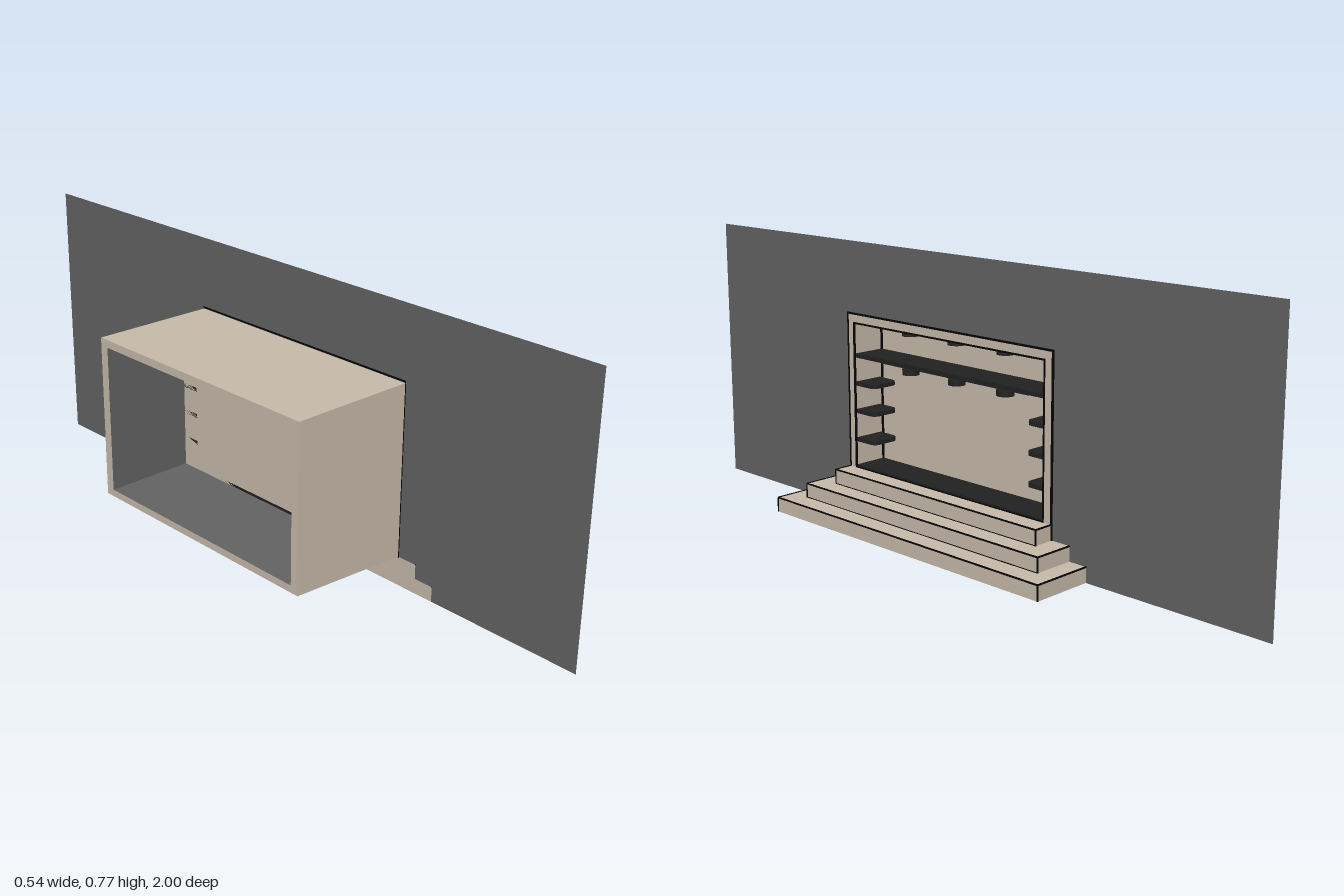
import * as THREE from 'three';

export function createModel() {
  const model = new THREE.Group();
  const mat = (name, color, side = THREE.FrontSide) => {
    const m = new THREE.MeshStandardMaterial({ color, side });
    m.name = name;
    return m;
  };
  const stone = mat('stone', 0xc9bcab, THREE.DoubleSide);
  const grey = mat('wallGrey', 0x646464, THREE.DoubleSide);
  const dark = mat('darkMetal', 0x222222);
  const ink = mat('outlineBlack', 0x050505);

  const add = (name, geometry, material) => {
    const mesh = new THREE.Mesh(geometry, material);
    mesh.name = name;
    model.add(mesh);
    return mesh;
  };
  // Box given by its extents
  const block = (name, x0, x1, y0, y1, z0, z1, material) => {
    const g = new THREE.BoxGeometry(x1 - x0, y1 - y0, z1 - z0);
    g.translate((x0 + x1) / 2, (y0 + y1) / 2, (z0 + z1) / 2);
    return add(name, g, material);
  };
  // Flat rectangle facing +x, optionally with a rectangular hole
  const rect = (Type, y0, y1, z0, z1) => {
    const p = new Type();
    p.moveTo(-z1, y0).lineTo(-z0, y0).lineTo(-z0, y1).lineTo(-z1, y1).closePath();
    return p;
  };
  const panel = (name, x, outer, hole, material) => {
    const s = rect(THREE.Shape, ...outer);
    if (hole) s.holes.push(rect(THREE.Path, ...hole));
    const g = new THREE.ShapeGeometry(s);
    g.rotateY(Math.PI / 2).translate(x, 0, 0);
    return add(name, g, material);
  };
  // Flat four-cornered face
  const quad = (name, a, b, c, d, material) => {
    const g = new THREE.BufferGeometry();
    g.setAttribute('position', new THREE.Float32BufferAttribute([a, b, c, a, c, d].flat(), 3));
    g.computeVertexNormals();
    return add(name, g, material);
  };

  const WX = 0.09, BX = -0.27, PX = -0.01;          // wall, rear and inner panel
  const Z0 = -0.34, Z1 = 0.43, TOP = 0.567;         // casing
  const HZ0 = -0.313, HZ1 = 0.406, HY0 = 0.125, HY1 = 0.545; // opening
  const hole = [HY0, HY1, HZ0, HZ1];

  // Thin wall with the opening
  panel('wall', WX, [0, 0.775, -1, 1], hole, grey);

  // Outer casing with sloping underside and open rear rim
  const YB = 0.105, YF = 0.083;
  quad('casingTop', [BX, TOP, Z0], [BX, TOP, Z1], [WX, TOP, Z1], [WX, TOP, Z0], stone);
  quad('casingBottom', [BX, YB, Z0], [WX, YF, Z0], [WX, YF, Z1], [BX, YB, Z1], stone);
  quad('casingLeft', [BX, YB, Z1], [WX, YF, Z1], [WX, TOP, Z1], [BX, TOP, Z1], stone);
  quad('casingRight', [WX, YF, Z0], [BX, YB, Z0], [BX, TOP, Z0], [WX, TOP, Z0], stone);
  panel('rearRim', BX, [YB, TOP, Z0, Z1], hole, stone);

  // Linings of the rear hollow and the front recess, split by the inner panel
  const lining = (name, x0, x1, material, floor) => {
    const corner = [[HY0, HZ0], [HY0, HZ1], [HY1, HZ1], [HY1, HZ0]];
    ['Floor', 'LeftSide', 'Ceiling', 'RightSide'].forEach((part, i) => {
      if (part === 'Floor' && !floor) return;
      const [p, q] = [corner[i], corner[(i + 1) % 4]];
      quad(name + part, [x0, ...p], [x0, ...q], [x1, ...q], [x1, ...p], material);
    });
  };
  lining('rear', BX, PX, grey, true);
  lining('recess', PX, WX, stone, false);
  panel('innerPanel', PX, hole, null, stone);
  block('recessFloor', PX, WX, HY0 - 0.002, HY0 + 0.008, HZ0, HZ1, dark);

  // Raised frame round the opening
  panel('frame', WX + 0.003, [YF, TOP + 0.003, Z0, Z1], hole, stone);

  // Outline strips: rectangles in the wall plane
  const T = 0.0025;
  const outline = (name, x, y0, y1, z0, z1) => {
    for (const z of [z0, z1]) block(name + 'Side', x - T, x + T, y0, y1, z - T, z + T, ink);
    for (const y of [y0, y1]) block(name + 'Rail', x - T, x + T, y - T, y + T, z0 - T, z1 + T, ink);
  };
  outline('frameOutline', WX + 0.002, YF, TOP + 0.004, Z0, Z1);
  outline('openingOutline', WX + 0.002, HY0, HY1, HZ0, HZ1);
  outline('recessOutline', PX + 0.003, HY0, HY1, HZ0 + 0.003, HZ1 - 0.003);

  // Three steps with edge lines
  const steps = [
    [0.268, 0, 0.042, -0.455, 0.548],
    [0.208, 0.042, 0.083, -0.4, 0.49],
    [0.15, 0.083, 0.125, Z0, Z1],
  ];
  steps.forEach(([x, y0, y1, z0, z1], i) => {
    block('step' + (i + 1), WX, x, y0, y1, z0, z1, stone);
    const t = 0.0018;
    block('stepFrontLine', x - t, x + t, y1 - t, y1 + t, z0, z1, ink);
    if (i) block('stepBaseLine', x - t, x + t, y0 - t, y0 + t, z0, z1, ink);
    for (const z of [z0, z1]) {
      block('stepSideLine', WX, x, y1 - t, y1 + t, z - t, z + t, ink);
      block('stepCornerLine', x - t, x + t, y0, y1, z - t, z + t, ink);
    }
  });

  // Upper shelf with a rail beneath it
  block('upperShelf', PX, WX - 0.002, 0.445, 0.457, HZ0, HZ1, dark);
  block('shelfRail', 0.02, 0.06, 0.435, 0.445, -0.23, 0.325, dark);

  // Round lamps under the ceiling and under the shelf
  for (const y of [HY1, 0.436]) {
    for (const z of [0.23, 0.05, -0.13]) {
      const lamp = add('lamp', new THREE.CylinderGeometry(0.024, 0.024, 0.016, 20), dark);
      lamp.position.set(0.04, y - 0.012, z);
      const stem = add('lampStem', new THREE.CylinderGeometry(0.012, 0.012, 0.008, 12), dark);
      stem.position.set(0.04, y - 0.002, z);
    }
  }

  // Small side shelves with rounded free corners
  const w = 0.075, d = 0.088, r = 0.02;
  const outlineShape = new THREE.Shape();
  outlineShape.moveTo(0, 0).lineTo(w - r, 0).quadraticCurveTo(w, 0, w, r)
    .lineTo(w, d - r).quadraticCurveTo(w, d, w - r, d).lineTo(0, d).closePath();
  for (const y of [0.37, 0.29, 0.207]) {
    for (const side of [-1, 1]) {
      const g = new THREE.ExtrudeGeometry(outlineShape, { depth: 0.012, bevelEnabled: false, curveSegments: 5 });
      g.rotateX(-Math.PI / 2).rotateY(side * Math.PI / 2);
      const shelf = add('sideShelf', g, dark);
      shelf.position.set(side > 0 ? WX - 0.002 : PX, y - 0.006, side > 0 ? HZ1 : HZ0);
    }
  }

  return model;
}
